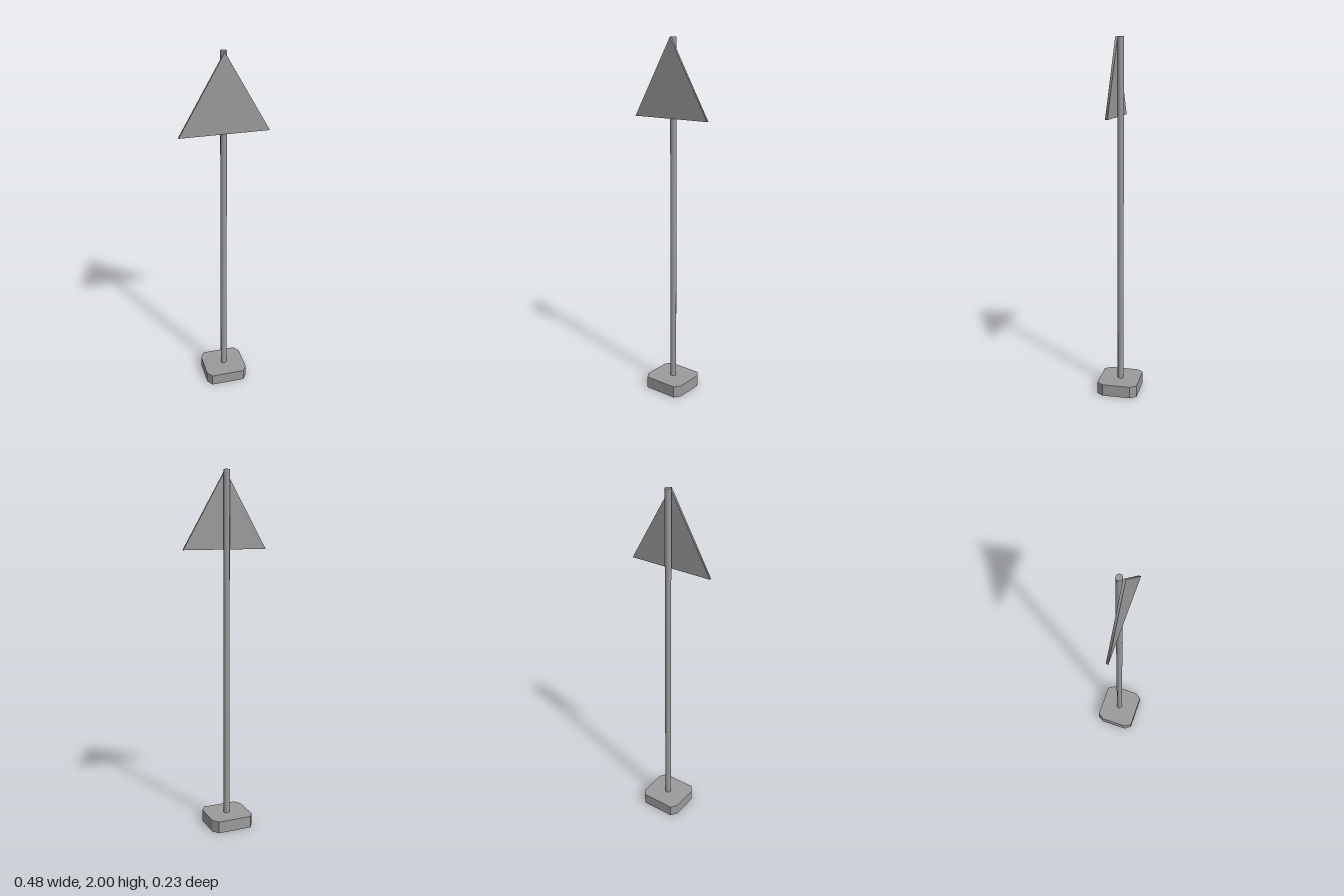
import * as THREE from 'three';

export function createModel() {
  const group = new THREE.Group();
  const color = 0x9b9b9b;
  const smooth = new THREE.MeshStandardMaterial({ color });
  const flatShell = new THREE.MeshStandardMaterial({ color, flatShading: true, side: THREE.DoubleSide });
  const add = (name, geometry, material, x, y, z) => {
    const mesh = new THREE.Mesh(geometry, material);
    mesh.name = name;
    mesh.position.set(x, y, z);
    group.add(mesh);
  };

  // Base: a shell with chamfered corners, open underneath
  const hx = 0.1225, hz = 0.1155, cx = 0.025, cz = 0.037, height = 0.067;
  const outline = [
    [hx, hz - cz], [hx, cz - hz], [hx - cx, -hz], [cx - hx, -hz],
    [-hx, cz - hz], [-hx, hz - cz], [cx - hx, hz], [hx - cx, hz],
  ];
  const positions = [];
  outline.forEach(([x0, z0], i) => {
    const [x1, z1] = outline[(i + 1) % outline.length];
    // wall panel
    positions.push(x0, 0, z0, x1, 0, z1, x1, height, z1);
    positions.push(x0, 0, z0, x1, height, z1, x0, height, z0);
    // top wedge
    positions.push(0, height, 0, x0, height, z0, x1, height, z1);
  });
  const baseGeometry = new THREE.BufferGeometry();
  baseGeometry.setAttribute('position', new THREE.Float32BufferAttribute(positions, 3));
  baseGeometry.computeVertexNormals();
  add('base', baseGeometry, flatShell, -0.002, 0, 0);

  // Pole: slim ten-sided rod whose end just pokes through the base top
  const poleBottom = 0.06, poleTop = 2;
  const poleGeometry = new THREE.CylinderGeometry(0.0175, 0.0175, poleTop - poleBottom, 10);
  add('pole', poleGeometry, smooth, 0.0005, (poleTop + poleBottom) / 2, -0.002);

  // Sign: thin three-sided disc standing upright, one corner up
  const signGeometry = new THREE.CylinderGeometry(0.28, 0.28, 0.0125, 3);
  signGeometry.rotateX(-Math.PI / 2);
  add('triangularSign', signGeometry, smooth, 0, 1.718, 0.0212);

  return group;
}
